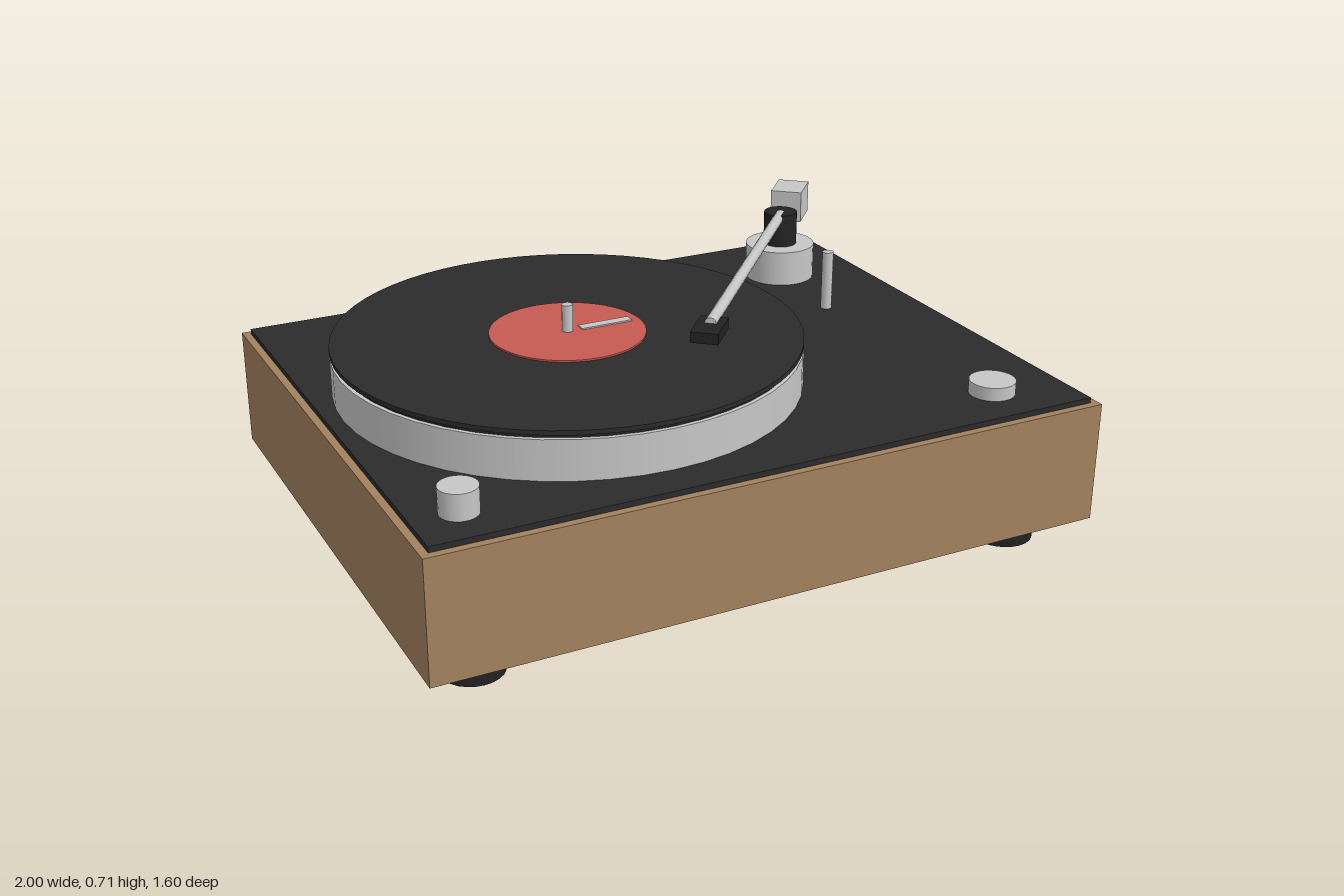
import * as THREE from 'three';

export function createModel() {
  const model = new THREE.Group();
  model.name = 'turntable';

  const material = (name, color, flatShading = false) => {
    const m = new THREE.MeshStandardMaterial({ color, flatShading });
    m.name = name;
    return m;
  };
  const wood = material('wood', 0xa2825e);
  const black = material('black', 0x2b2b2b);
  const rubber = material('rubber', 0x222222);
  const metal = material('metal', 0xc6c6c6);
  const red = material('label red', 0xc65a52);

  const add = (name, geometry, mat, x, y, z, parent = model) => {
    const mesh = new THREE.Mesh(geometry, mat);
    mesh.name = name;
    mesh.position.set(x, y, z);
    parent.add(mesh);
    return mesh;
  };
  // Box and upright cylinder placed by their bottom and top heights
  const box = (name, mat, w, d, y0, y1, x = 0, z = 0, parent = model) =>
    add(name, new THREE.BoxGeometry(w, y1 - y0, d), mat, x, (y0 + y1) / 2, z, parent);
  const disc = (name, mat, r, y0, y1, x, z, sides = 24) =>
    add(name, new THREE.CylinderGeometry(r, r, y1 - y0, sides), mat, x, (y0 + y1) / 2, z);

  // Plinth, deck plate and feet
  box('plinth', wood, 2, 1.6, 0.09, 0.445);
  box('deckPlate', black, 1.955, 1.555, 0.445, 0.461);
  for (const x of [-0.825, 0.825])
    for (const z of [-0.625, 0.625]) disc('foot', rubber, 0.088, 0, 0.09, x, z);

  // Platter, mat, record, label and spindle
  const px = -0.267;
  disc('platter', metal, 0.667, 0.461, 0.577, px, 0, 48);
  disc('mat', rubber, 0.655, 0.577, 0.589, px, 0, 48);
  disc('record', black, 0.667, 0.589, 0.602, px, 0, 64);
  disc('recordLabel', red, 0.223, 0.602, 0.607, px, 0, 48);
  box('labelMark', metal, 0.155, 0.03, 0.607, 0.611, px + 0.117, 0);
  disc('spindle', metal, 0.016, 0.602, 0.686, px, 0, 12);

  // Tonearm base, pivot and rest
  const ax = 0.71, az = -0.49;
  disc('armBase', metal, 0.11, 0.461, 0.571, ax, az, 32);
  disc('armPivot', rubber, 0.053, 0.571, 0.676, ax, az);
  disc('armRest', metal, 0.017, 0.461, 0.645, 0.687, -0.157, 12);

  // Tonearm assembly: local +z runs from the pivot toward the record
  const arm = new THREE.Group();
  arm.name = 'tonearm';
  arm.position.set(ax, 0, az);
  arm.rotation.y = Math.atan2(-0.66, 0.75);
  model.add(arm);
  const tube = add('armTube', new THREE.CylinderGeometry(0.017, 0.017, 1.0, 12), metal, 0, 0.664, 0.5, arm);
  tube.rotation.x = Math.PI / 2;
  box('headshell', rubber, 0.08, 0.13, 0.632, 0.664, 0, 1.01, arm);
  box('counterweight', metal, 0.1, 0.13, 0.615, 0.715, 0, -0.153, arm);

  // Control knobs
  disc('leftKnob', metal, 0.053, 0.461, 0.535, -0.847, 0.642);
  disc('rightKnob', metal, 0.066, 0.461, 0.5, 0.753, 0.622);

  return model;
}
